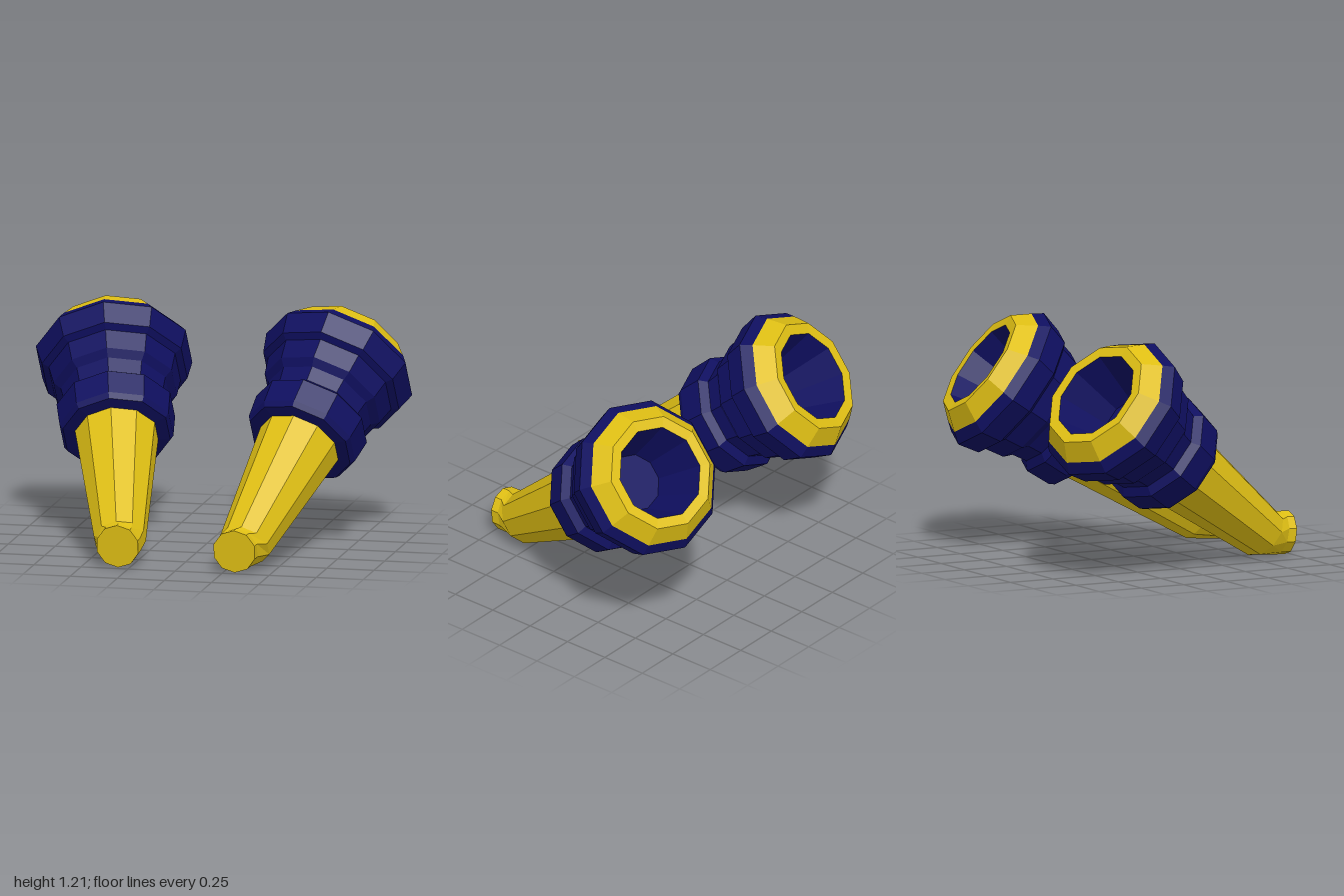
import * as THREE from 'three';

const SIDES = 10;
const yellow = new THREE.MeshStandardMaterial({ color: 0xdfbf14, flatShading: true });
const blue = new THREE.MeshStandardMaterial({ color: 0x0f0f60, flatShading: true });

// Corners of a ten-sided ring with a corner at the top, facing along n
function ringPoints({ c, n, r }) {
  const right = new THREE.Vector3(1, 0, 0).addScaledVector(n, -n.x).normalize();
  const up = new THREE.Vector3().crossVectors(right, n);
  return Array.from({ length: SIDES }, (_, i) => {
    const a = Math.PI / 2 + (i * 2 * Math.PI) / SIDES;
    return c.clone().addScaledVector(right, r * Math.cos(a)).addScaledVector(up, r * Math.sin(a));
  });
}

// Skin joining consecutive rings; a ring of radius 0 closes an end
function loft(name, rings, material) {
  const pts = rings.map(ringPoints);
  const pos = [];
  const tri = (...vs) => vs.forEach((v) => pos.push(v.x, v.y, v.z));
  for (let j = 0; j < rings.length - 1; j++) {
    for (let i = 0; i < SIDES; i++) {
      const k = (i + 1) % SIDES;
      const a = pts[j][i], b = pts[j][k], c = pts[j + 1][k], d = pts[j + 1][i];
      if (rings[j].r > 0) tri(a, d, b);
      if (rings[j + 1].r > 0) tri(b, d, c);
    }
  }
  const geo = new THREE.BufferGeometry();
  geo.setAttribute('position', new THREE.Float32BufferAttribute(pos, 3));
  geo.computeVertexNormals();
  const mesh = new THREE.Mesh(geo, material);
  mesh.name = name;
  return mesh;
}

function createHorn(side) {
  const vec = (x, y, z) => new THREE.Vector3(side * x, y, z);
  const axis = vec(0.2, 0.6, -0.775).normalize();
  const mouth = vec(0.625, 0.97, -0.56);
  // Ring at distance s along the main axis, measured from the mouth
  const at = ([s, r]) => ({ c: mouth.clone().addScaledVector(axis, s), n: axis, r });
  const tipAxis = vec(0, 0.11, -1).normalize();
  const neckAxis = vec(0.03, 0.2, -1).normalize();

  const horn = new THREE.Group();
  horn.name = side > 0 ? 'leftHorn' : 'rightHorn';
  horn.add(
    // Tapered shaft with a bent, blunt tip
    loft('shaft', [
      { c: vec(0.31, 0.12, 0.732), n: tipAxis, r: 0 },
      { c: vec(0.31, 0.12, 0.732), n: tipAxis, r: 0.114 },
      { c: vec(0.312, 0.122, 0.68), n: neckAxis, r: 0.115 },
      { c: vec(0.333, 0.13, 0.577), n: axis, r: 0.137 },
      at([-0.69, 0.22]),
    ], yellow),
    // Stepped collar, widening towards the mouth
    loft('collar', [
      [-0.7, 0.2], [-0.69, 0.283], [-0.66, 0.3], [-0.525, 0.312], [-0.49, 0.272],
      [-0.41, 0.288], [-0.375, 0.325], [-0.27, 0.347], [-0.25, 0.383],
      [-0.135, 0.412], [-0.08, 0.372],
    ].map(at), blue),
    // Bevelled rim around the opening
    loft('rim', [[-0.08, 0.372], [0.01, 0.3], [0.005, 0.243]].map(at), yellow),
    // Hollow with a flat floor
    loft('hollow', [[0.005, 0.243], [-0.28, 0.15], [-0.28, 0]].map(at), blue),
  );
  return horn;
}

export function createModel() {
  const model = new THREE.Group();
  model.name = 'hornPair';
  for (const side of [1, -1]) model.add(createHorn(side));
  return model;
}
